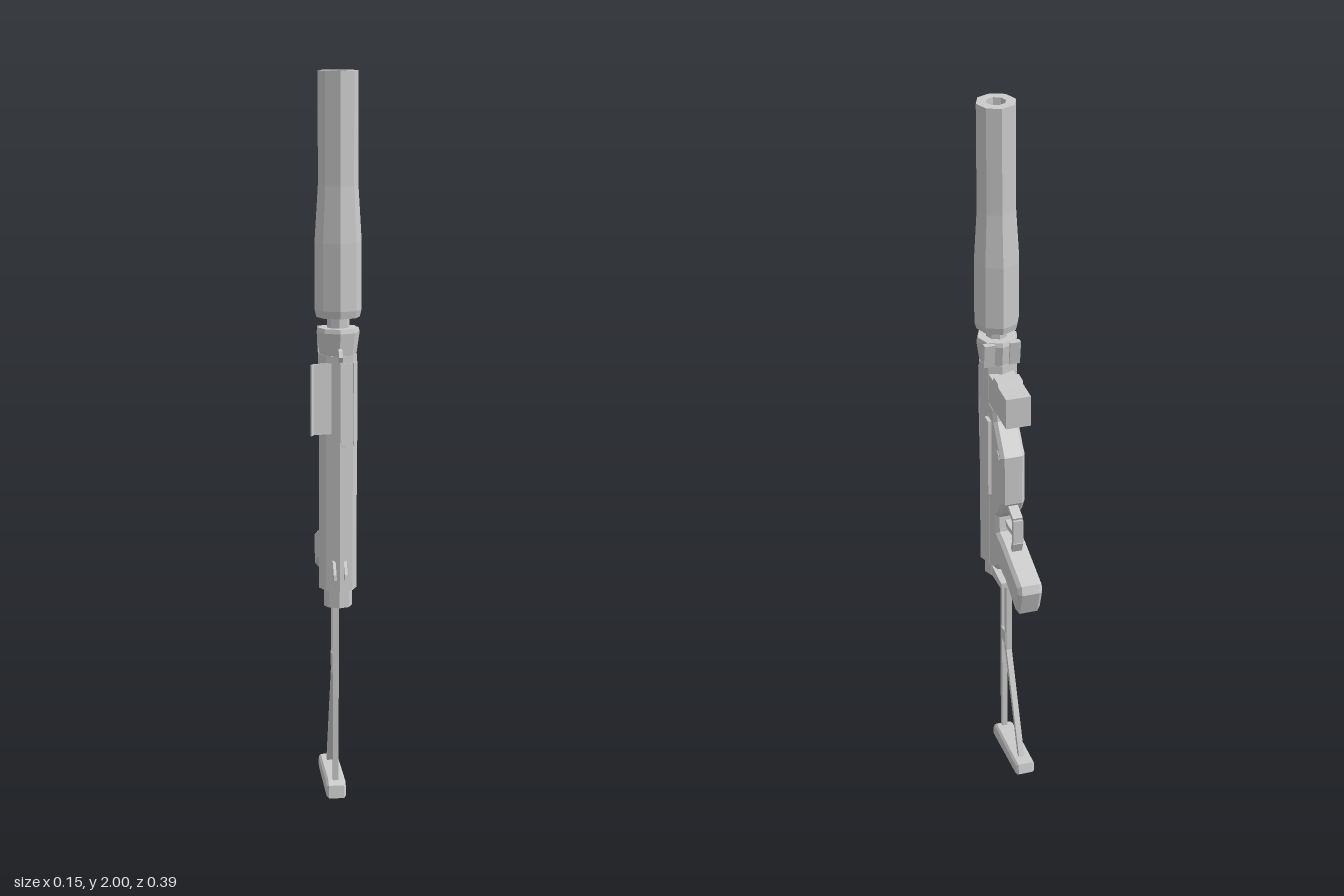
import * as THREE from 'three';

// Bore axis of the upright rifle
const CX = 0.008, CZ = 0.117;

export function createModel() {
  const model = new THREE.Group();
  const mat = new THREE.MeshStandardMaterial({ color: 0xcccccc, flatShading: true, side: THREE.DoubleSide });

  const add = (name, geo, x = 0, y = 0, z = 0) => {
    const m = new THREE.Mesh(geo, mat);
    m.name = name;
    m.position.set(x, y, z);
    model.add(m);
    return m;
  };
  // Box given by its y and z ranges, centred on x
  const box = (name, w, y0, y1, z0, z1, x = CX) =>
    add(name, new THREE.BoxGeometry(w, y1 - y0, z1 - z0), x, (y0 + y1) / 2, (z0 + z1) / 2);
  // Octagonal turned part, profile of [radius, y] from the bottom up
  const turned = (name, pts) =>
    add(name, new THREE.LatheGeometry(pts.map(p => new THREE.Vector2(...p)), 8), CX, 0, CZ);
  // Side profile of [z, y] points, extruded across x with optional chamfer
  const profile = (name, pts, w, chamfer = 0, x = CX) => {
    const geo = new THREE.ExtrudeGeometry(new THREE.Shape(pts.map(p => new THREE.Vector2(...p))), {
      depth: w - 2 * chamfer, bevelEnabled: chamfer > 0, bevelSegments: 1,
      bevelThickness: chamfer, bevelSize: chamfer, bevelOffset: -chamfer,
    });
    geo.translate(0, 0, -(w - 2 * chamfer) / 2).rotateY(-Math.PI / 2);
    return add(name, geo, x);
  };
  // Straight bar between two [z, y] points
  const bar = (name, [z0, y0], [z1, y1], t, w) => {
    const m = add(name, new THREE.BoxGeometry(w, Math.hypot(z1 - z0, y1 - y0), t), CX, (y0 + y1) / 2, (z0 + z1) / 2);
    m.rotation.x = Math.atan2(z1 - z0, y1 - y0);
    return m;
  };

  // Barrel and receiver
  turned('suppressor', [[0, 1.35], [0.058, 1.35], [0.063, 1.37], [0.063, 1.55], [0.054, 1.7],
    [0.054, 2], [0.027, 2], [0.027, 1.9], [0, 1.9]]);
  turned('barrelNeck', [[0, 1.3], [0.03, 1.3], [0.03, 1.36], [0, 1.36]]);
  turned('collar', [[0, 1.24], [0.048, 1.24], [0.058, 1.31], [0.055, 1.322], [0, 1.322]]);
  turned('receiverTube', [[0, 0.61], [0.051, 0.61], [0.051, 1.25], [0, 1.25]]);
  turned('endCap', [[0, 0.56], [0.038, 0.56], [0.038, 0.62], [0, 0.62]]);
  for (const s of [-1, 1]) {
    profile('collarLug', [[0.06, 1.32], [0.078, 1.32], [0.085, 1.25], [0.07, 1.25]], 0.03, 0, CX + s * 0.036);
    box('sideRail', 0.016, 0.855, 1.09, 0.056, 0.086, CX + s * 0.037);
    profile('rearFin', [[0.16, 0.645], [0.193, 0.645], [0.19, 0.66], [0.16, 0.695]], 0.008, 0, CX + s * 0.015);
  }
  profile('frontSight', [[0.155, 1.235], [0.185, 1.235], [0.194, 1.25], [0.185, 1.265], [0.155, 1.275]], 0.01);

  // Port plate lying on the +x/+z facets, rounded at its lower end
  const plate = new THREE.Shape();
  plate.moveTo(-0.018, 1.23);
  plate.lineTo(-0.018, 1.02);
  plate.absarc(0, 1.02, 0.018, Math.PI, 2 * Math.PI, false);
  plate.lineTo(0.018, 1.23);
  for (const a of [Math.PI / 8, 3 * Math.PI / 8]) {
    const p = add('portPlate', new THREE.ExtrudeGeometry(plate, { depth: 0.005, bevelEnabled: false, curveSegments: 4 }),
      CX + Math.sin(a) * 0.044, 0, CZ + Math.cos(a) * 0.044);
    p.rotation.y = a;
  }

  // Open port cover, a thin folded flap
  const flap = new THREE.Shape([[-0.015, 0.17], [-0.03, 0.163], [-0.067, 0.177], [-0.074, 0.195],
    [-0.07, 0.196], [-0.063, 0.181]].map(([x, z]) => new THREE.Vector2(x, -z)));
  const cover = new THREE.ExtrudeGeometry(flap, { depth: 0.19, bevelEnabled: false });
  add('portCover', cover.rotateX(-Math.PI / 2), 0, 1.042, 0);
  box('coverCatch', 0.007, 1.06, 1.14, 0.162, 0.175, -0.053);

  // Lower frame with pistol grip
  profile('frameAndGrip', [[0.1, 1.14], [0.04, 1.14], [0.03, 1.1], [-0.035, 1.02], [-0.035, 0.87], [-0.012, 0.83],
    [0.018, 0.8], [0.012, 0.755], [-0.03, 0.748], [-0.19, 0.7], [-0.198, 0.675], [-0.173, 0.6],
    [-0.07, 0.643], [-0.005, 0.65], [0.035, 0.615], [0.1, 0.6]], 0.07, 0.01);
  const pin = add('framePin', new THREE.CylinderGeometry(0.019, 0.019, 0.074, 8), CX, 1.01, 0);
  pin.rotation.z = Math.PI / 2;

  // Trigger and its guard
  const guard = [[-0.02, 0.86], [-0.074, 0.842], [-0.074, 0.77], [-0.06, 0.735]];
  for (let i = 0; i < 3; i++) bar('triggerGuard', guard[i], guard[i + 1], 0.014, 0.028);
  profile('trigger', [[0.03, 0.79], [-0.015, 0.785], [-0.048, 0.79], [-0.048, 0.775], [-0.01, 0.77], [0.03, 0.77]], 0.014);

  // Magazine block and its housing
  box('magazine', 0.07, 1.14, 1.23, -0.08, 0.01);
  profile('magazineHousing', [[0.1, 1.135], [0.005, 1.14], [-0.012, 1.228], [-0.005, 1.24], [0.03, 1.24],
    [0.04, 1.225], [0.1, 1.225]], 0.07);

  // Folding skeleton stock
  profile('stockHinge', [[0.09, 0.56], [0.013, 0.568], [0, 0.572], [0, 0.588], [0.09, 0.592]], 0.05);
  bar('stockFrontRod', [0.057, 0.57], [0.057, 0.04], 0.016, 0.016);
  bar('stockRearRod', [0.016, 0.575], [0.016, 0.345], 0.018, 0.016);
  bar('stockDiagonalRod', [0.016, 0.352], [-0.11, 0.045], 0.016, 0.016);
  box('stockBrace', 0.018, 0.365, 0.405, 0.012, 0.06);
  profile('buttPlate', [[0.085, 0], [0.08, 0.035], [0.062, 0.048], [-0.15, 0.055], [-0.156, 0.025],
    [-0.145, 0.015], [0.06, 0]], 0.054, 0.006);

  return model;
}
